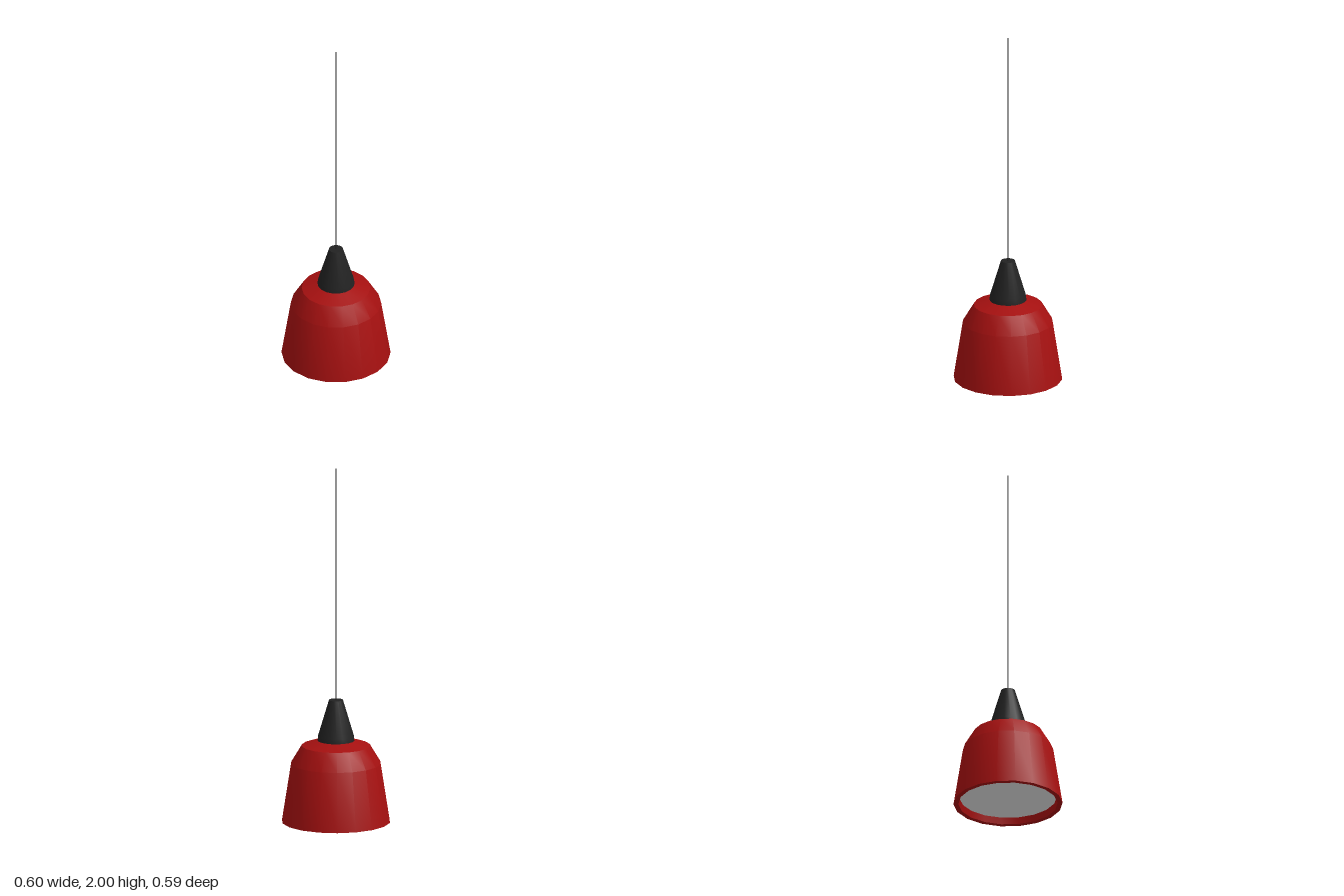
import * as THREE from 'three';
import { toCreasedNormals } from 'three/addons/utils/BufferGeometryUtils.js';

const SIDES = 18;

function material(name, color) {
  const m = new THREE.MeshStandardMaterial({ color });
  m.name = name;
  return m;
}

// Revolve a profile of [radius, height] pairs, with a corner on the x axis
function turned(name, profile, mat, sides = SIDES) {
  const points = profile.map(([r, y]) => new THREE.Vector2(r, y));
  const lathe = new THREE.LatheGeometry(points, sides, Math.PI / 2);
  const mesh = new THREE.Mesh(toCreasedNormals(lathe, 0.5), mat);
  mesh.name = name;
  return mesh;
}

export function createModel() {
  const red = material('red enamel', 0xa51010);
  const black = material('black plastic', 0x222222);
  const white = material('white diffuser', 0xececec);

  const lamp = new THREE.Group();
  lamp.name = 'pendantLamp';

  // Thick-walled shade: inner wall downwards, rim, then outer wall upwards
  lamp.add(turned('shade', [
    [0.08, 0.435], [0.175, 0.41], [0.228, 0.32], [0.275, 0],
    [0.302, 0], [0.25, 0.33], [0.19, 0.43], [0.08, 0.466],
  ], red));

  // Conical cap with a short collar
  lamp.add(turned('cap', [
    [0, 0.455], [0.103, 0.455], [0.1, 0.485], [0.039, 0.688], [0, 0.688],
  ], black));

  // Hanging cord
  lamp.add(turned('cord', [
    [0, 0.68], [0.0035, 0.68], [0.0035, 2], [0, 2],
  ], black, 8));

  // Light diffuser just inside the rim, facing down
  const diffuser = new THREE.Mesh(new THREE.CylinderGeometry(0.27, 0.27, 0.008, SIDES, 1, false, Math.PI / 2), white);
  diffuser.name = 'diffuser';
  diffuser.position.y = 0.042;
  lamp.add(diffuser);

  return lamp;
}
